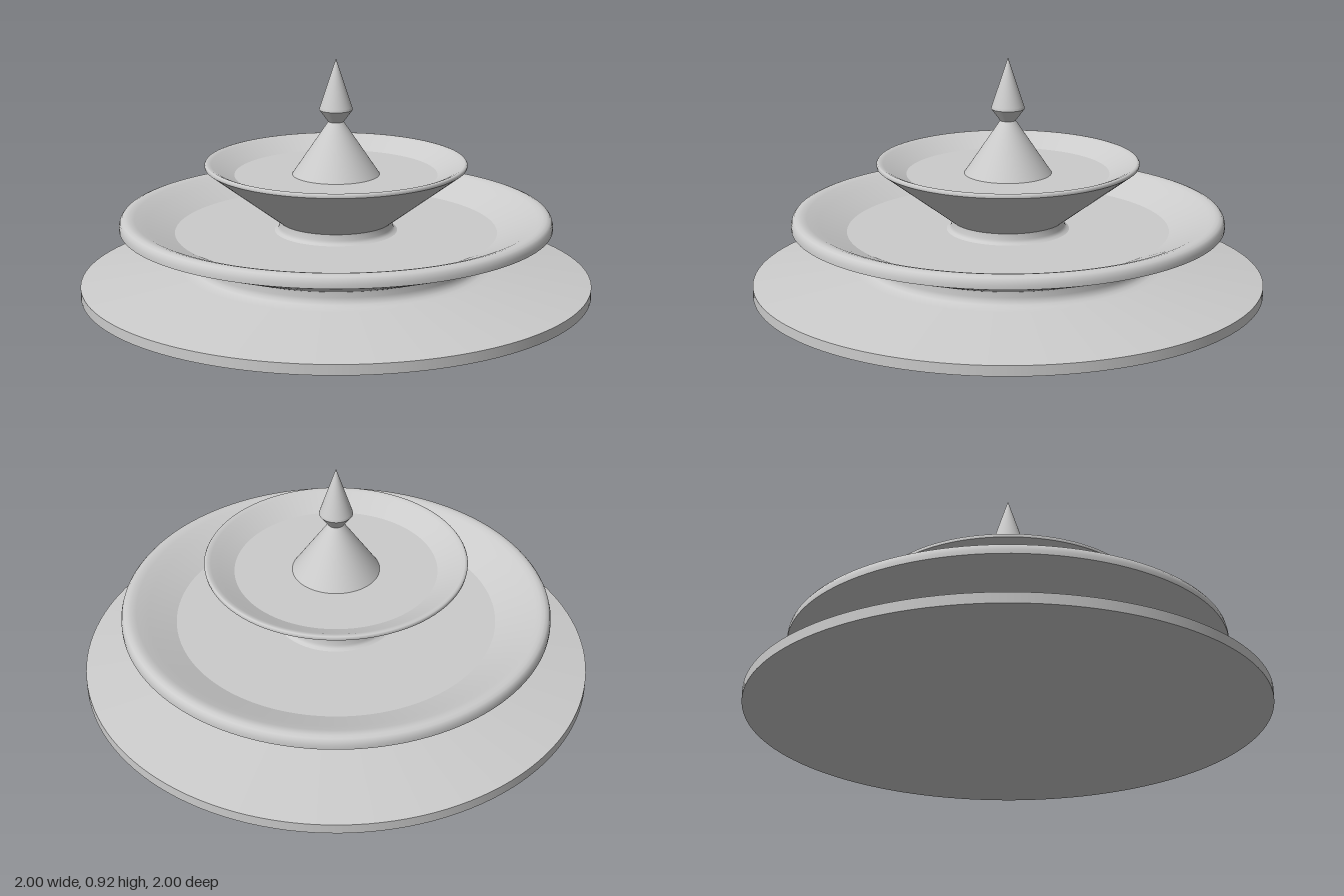
import * as THREE from 'three';
import { mergeGeometries } from 'three/addons/utils/BufferGeometryUtils.js';

const material = new THREE.MeshStandardMaterial({ color: 0xcccccc });

// Turned part: each run of [radius, height] points is smooth, with a sharp edge between runs.
function turned(name, runs) {
  const pieces = runs.map(run =>
    new THREE.LatheGeometry(run.map(([r, y]) => new THREE.Vector2(r, y)), 128));
  const mesh = new THREE.Mesh(mergeGeometries(pieces), material);
  mesh.name = name;
  return mesh;
}

export function createModel() {
  const model = new THREE.Group();
  model.name = 'tieredFountain';

  // Wide sloping foot with a filleted neck
  model.add(turned('base', [
    [[0, 0], [1, 0]],
    [[1, 0], [1, 0.04]],
    [[1, 0.04], [0.8, 0.07], [0.61, 0.098]],
    [[0.61, 0.098], [0.585, 0.102], [0.57, 0.11], [0.562, 0.122], [0.56, 0.135], [0.56, 0.157]],
  ]));

  // Large dish with a rounded rim and flat floor
  model.add(turned('lowerBowl', [
    [[0.56, 0.157], [0.845, 0.26]],
    [[0.845, 0.26], [0.845, 0.275], [0.841, 0.29], [0.833, 0.3], [0.82, 0.305],
      [0.805, 0.305], [0.785, 0.3], [0.74, 0.281], [0.63, 0.235]],
    [[0.63, 0.235], [0, 0.235]],
  ]));

  // Short flared stem between the dishes
  model.add(turned('stem', [
    [[0.24, 0.235], [0.228, 0.241], [0.222, 0.252], [0.22, 0.275]],
  ]));

  // Small dish with a thin rim
  model.add(turned('upperBowl', [
    [[0.22, 0.275], [0.51, 0.495]],
    [[0.51, 0.495], [0.511, 0.503], [0.507, 0.509], [0.499, 0.51],
      [0.485, 0.505], [0.455, 0.489], [0.395, 0.46]],
    [[0.395, 0.46], [0, 0.46]],
  ]));

  // Conical pedestal and pointed tip
  model.add(turned('finial', [
    [[0.17, 0.46], [0.03, 0.668]],
    [[0.03, 0.668], [0.065, 0.715]],
    [[0.065, 0.715], [0.063, 0.724]],
    [[0.063, 0.724], [0, 0.915]],
  ]));

  return model;
}
